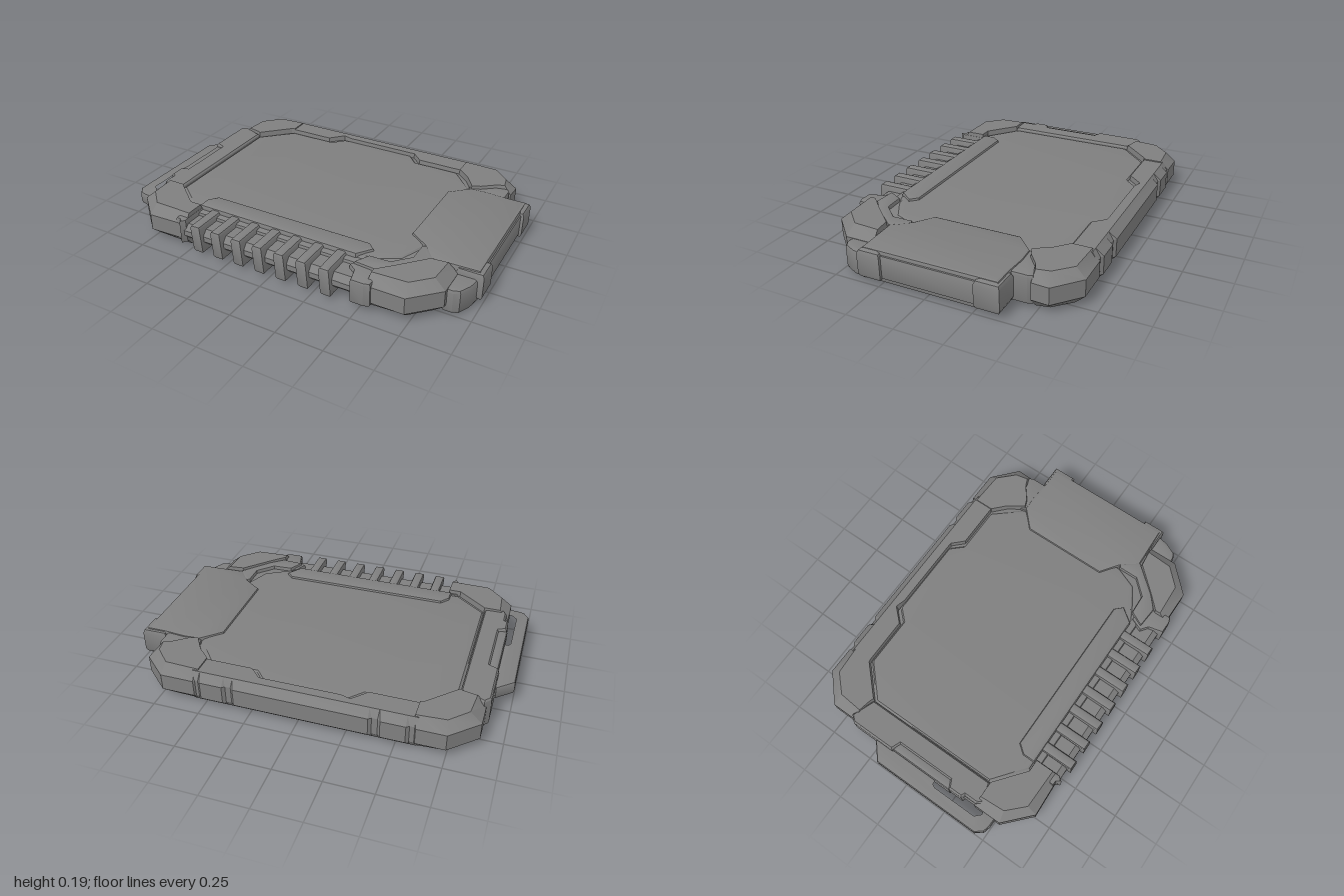
import * as THREE from 'three';
import { toCreasedNormals } from 'three/addons/utils/BufferGeometryUtils.js';

const gray = new THREE.MeshStandardMaterial({ color: 0x7f7f7f });
gray.name = 'casing gray';

// Outer limits of the case in plan: [nx, nz, distance]
const D = Math.SQRT1_2;
const LIMITS = [
  [-1, 0, 0.89], [1, 0, 0.87], [0, -1, 0.685], [0, 1, 0.66],
  [-D, -D, 1.435 * D], [D, -D, 1.42 * D], [-D, D, 1.42 * D], [D, D, 1.39 * D],
];

// Prism with bevelled rims from an [x, z] outline; `chamfer` pulls the outer rim further in
function slab(group, name, outline, y0, y1, { bevel = 0.012, rise = bevel, chamfer = 0, holes = [], segments = 2 } = {}) {
  const toV = ([x, z]) => new THREE.Vector2(x, -z);
  const shape = new THREE.Shape(outline.map(toV));
  for (const h of holes) shape.holes.push(new THREE.Path(h.map(toV)));
  const geo = new THREE.ExtrudeGeometry(shape, {
    depth: y1 - y0 - 2 * rise, bevelEnabled: true, bevelThickness: rise,
    bevelSize: bevel, bevelOffset: -bevel, bevelSegments: chamfer ? 1 : segments,
  });
  geo.rotateX(-Math.PI / 2).translate(0, y0 + rise, 0);
  if (chamfer) {
    const p = geo.attributes.position;
    for (let i = 0; i < p.count; i++) {
      const y = p.getY(i);
      if (y > y0 + 1e-4 && y < y1 - 1e-4) continue;
      let x = p.getX(i), z = p.getZ(i);
      for (const [nx, nz, d] of LIMITS) {
        const over = x * nx + z * nz - (d - chamfer);
        if (over > 0) { x -= nx * over; z -= nz * over; }
      }
      p.setXYZ(i, x, y, z);
    }
  }
  const mesh = new THREE.Mesh(toCreasedNormals(geo, 0.5), gray);
  mesh.name = name;
  group.add(mesh);
  return mesh;
}

const rect = (x0, x1, z0, z1) => [[x0, z0], [x1, z0], [x1, z1], [x0, z1]];

export function createModel() {
  const model = new THREE.Group();
  model.name = 'ruggedTablet';

  // Inner body and the slightly sunken screen panel, alike above and below
  slab(model, 'innerBody', [[-0.82, -0.4], [-0.62, -0.6], [0.58, -0.6], [0.8, -0.44],
    [0.82, 0.38], [0.62, 0.54], [-0.62, 0.54], [-0.82, 0.4]], 0.032, 0.158);
  slab(model, 'screenPanel', [[-0.75, -0.37], [-0.585, -0.53], [-0.31, -0.53], [-0.25, -0.595],
    [0.2, -0.595], [0.26, -0.53], [0.52, -0.53], [0.65, -0.38], [0.65, 0.28],
    [0.6, 0.4], [0.5, 0.46], [0.42, 0.5], [-0.585, 0.5], [-0.75, 0.37]],
  0.021, 0.169, { bevel: 0.03, rise: 0.012 });

  // Corner bumpers
  const corners = {
    backRightCorner: [[-0.89, -0.4], [-0.89, -0.55], [-0.75, -0.68], [-0.6, -0.68], [-0.58, -0.65],
      [-0.58, -0.53], [-0.6, -0.525], [-0.75, -0.375], [-0.77, -0.385]],
    backLeftCorner: [[0.53, -0.66], [0.55, -0.68], [0.73, -0.68], [0.865, -0.56], [0.86, -0.47],
      [0.78, -0.45], [0.71, -0.395], [0.66, -0.375], [0.6, -0.465], [0.53, -0.53]],
    frontRightCorner: [[-0.89, 0.375], [-0.75, 0.375], [-0.59, 0.505], [-0.52, 0.505], [-0.52, 0.65],
      [-0.75, 0.66], [-0.89, 0.53]],
    frontLeftCorner: [[0.53, 0.58], [0.6, 0.51], [0.73, 0.37], [0.87, 0.36], [0.87, 0.52],
      [0.73, 0.66], [0.53, 0.66]],
  };
  for (const [name, pts] of Object.entries(corners))
    slab(model, name, pts, 0, 0.19, { bevel: 0.006, rise: 0.05, chamfer: 0.05 });

  // Back rail with two shallow notches and a stepped inner edge; its ends run into the corners
  slab(model, 'backRail', [[-0.61, -0.672], [-0.57, -0.672], [-0.555, -0.685], [-0.43, -0.685], [-0.415, -0.672],
    [-0.385, -0.672], [-0.37, -0.685], [0.33, -0.685], [0.345, -0.672], [0.375, -0.672], [0.39, -0.685], [0.51, -0.685],
    [0.525, -0.672], [0.57, -0.672], [0.57, -0.53], [0.28, -0.53], [0.22, -0.59], [-0.21, -0.59], [-0.26, -0.605],
    [-0.33, -0.53], [-0.61, -0.53]], 0.006, 0.184, { bevel: 0.006, rise: 0.04, chamfer: 0.04 });

  // Right side: rail, raised tab and a slotted strap loop
  slab(model, 'rightRail', [[-0.91, -0.395], [-0.88, -0.43], [-0.752, -0.38], [-0.752, 0.38], [-0.86, 0.41],
    [-0.88, 0.38], [-0.88, 0.31], [-0.9, 0.3], [-0.9, 0.22], [-0.86, 0.2], [-0.86, -0.12], [-0.91, -0.14]],
  0.012, 0.178, { bevel: 0.01, rise: 0.03 });
  slab(model, 'rightTab', [[-0.905, -0.14], [-0.86, -0.14], [-0.845, -0.12], [-0.845, 0.21],
    [-0.86, 0.225], [-0.905, 0.225]], 0.025, 0.165, { bevel: 0.016 });
  slab(model, 'strapLoop', [[-1, -0.175], [-0.915, -0.25], [-0.84, -0.25], [-0.84, 0.5], [-0.93, 0.5],
    [-0.97, 0.49], [-1, 0.45]], 0.06, 0.135,
  { bevel: 0.015, holes: [[[-0.95, 0.15], [-0.935, 0.12], [-0.885, 0.12], [-0.875, 0.16], [-0.875, 0.44], [-0.91, 0.45],
    [-0.95, 0.41]]] });

  // Left side: the large side grip with its end pads, hinge and latch
  slab(model, 'leftGrip', [[0.56, -0.28], [0.66, -0.375], [0.75, -0.38], [0.87, -0.37], [0.975, -0.37], [0.975, 0.35],
    [0.73, 0.36], [0.66, 0.27], [0.56, 0.2]], 0.01, 0.181, { bevel: 0.014 });
  for (const [name, z0, z1] of [['gripEndBack', -0.385, -0.255], ['gripEndFront', 0.24, 0.365]])
    slab(model, name, rect(0.86, 0.998, z0, z1), 0.02, 0.175, { bevel: 0.025 });
  slab(model, 'gripFace', rect(0.94, 0.983, -0.26, 0.245), 0.035, 0.16, { bevel: 0.008 });
  slab(model, 'gripHinge', [[0.64, -0.4], [0.72, -0.45], [0.78, -0.48], [0.845, -0.475], [0.855, -0.45], [0.855, -0.35],
    [0.66, -0.34]], 0.018, 0.172, { bevel: 0.012 });
  slab(model, 'latch', [[0.85, 0.34], [0.975, 0.34], [0.96, 0.42], [0.93, 0.48], [0.9, 0.495], [0.85, 0.495]], 0.002, 0.138,
    { bevel: 0.018 });

  // Trim pieces beside the screen, front left
  slab(model, 'cornerTrim', [[0.46, 0.48], [0.57, 0.475], [0.65, 0.39], [0.65, 0.28], [0.67, 0.27], [0.74, 0.36],
    [0.61, 0.51], [0.54, 0.57], [0.42, 0.56]], 0.01, 0.18, { bevel: 0.008 });
  slab(model, 'frontStrip', [[-0.5, 0.385], [0.42, 0.385], [0.46, 0.425], [0.4, 0.505], [-0.54, 0.505], [-0.54, 0.435]],
    0.006, 0.184, { bevel: 0.016 });

  // Front: long bar crossed by leaning ribs, with a block at each end
  slab(model, 'frontBar', rect(-0.55, 0.5, 0.49, 0.66), 0.05, 0.14, { bevel: 0.03, rise: 0.03, segments: 1 });
  for (let i = 0; i < 7; i++) {
    const rib = slab(model, 'rib' + (i + 1), rect(-0.028, 0.028, 0.49, 0.683), 0.018, 0.175, { bevel: 0.016 });
    rib.geometry.applyMatrix4(new THREE.Matrix4().makeShear(0, 0, -0.08, 0, 0, 0));
    rib.position.x = -0.422 + i * 0.126;
  }
  slab(model, 'frontHook', [[-0.58, 0.5], [-0.52, 0.5], [-0.52, 0.65], [-0.54, 0.675], [-0.555, 0.65], [-0.58, 0.65]],
    0.035, 0.17, { bevel: 0.008 });
  slab(model, 'frontEndBlock', [[0.43, 0.5], [0.56, 0.5], [0.56, 0.67], [0.53, 0.68], [0.46, 0.68], [0.44, 0.6], [0.4, 0.57]],
    0.03, 0.165, { bevel: 0.012 });

  return model;
}
